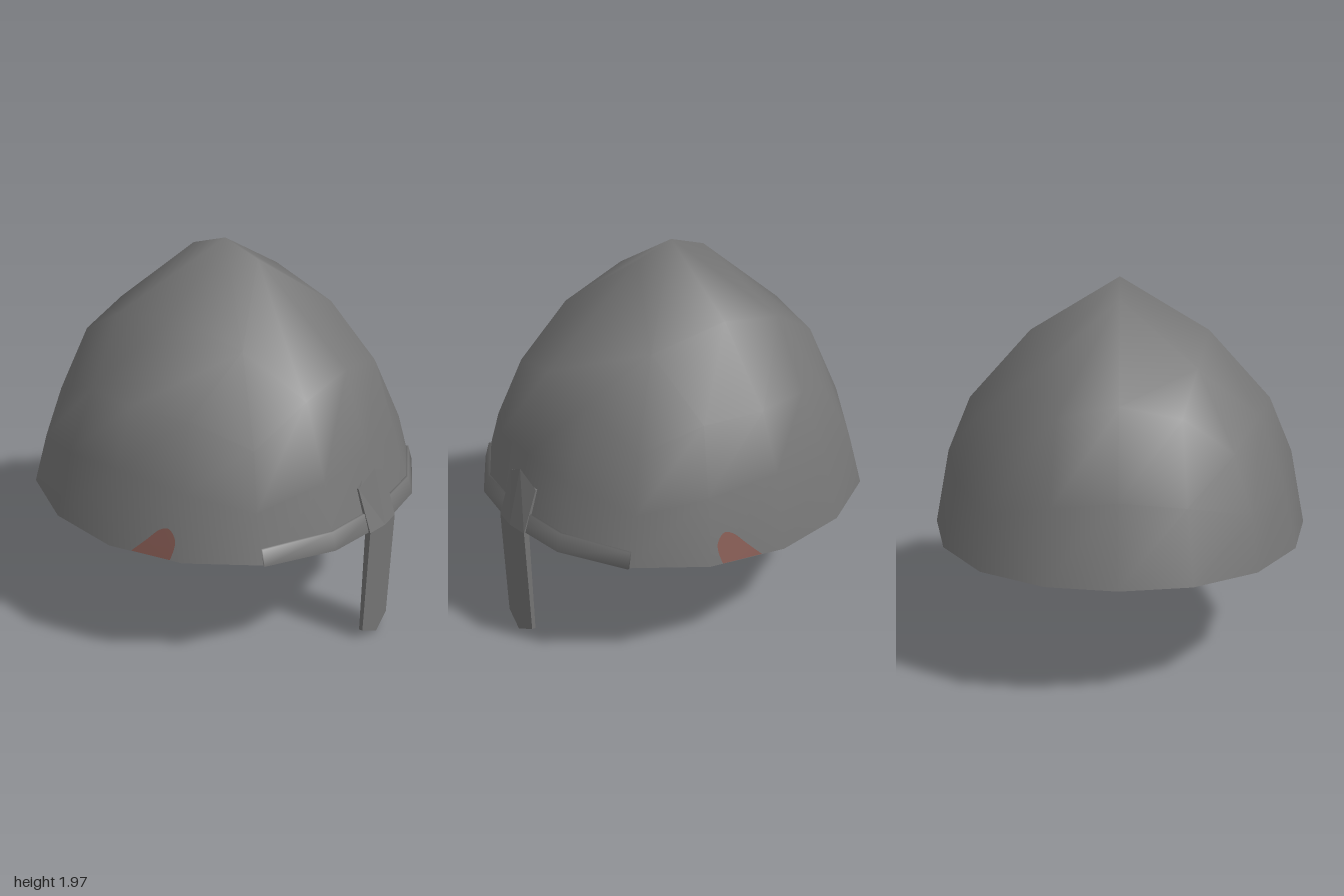
import * as THREE from 'three';

const SIDES = 16;
const APEX = new THREE.Vector3(0, 1.97, 0);
// One quarter of each shell ring, from crown to rim: [x, y, depth] from the middle (x = 0) round to the side
const RINGS = [
  [[0, 1.9, 0.2], [0.39, 1.59, 0.39], [0.39, 1.59, 0.39], [0.39, 1.59, 0.39], [0.46, 1.69, 0]],
  [[0, 1.48, 0.69], [0.31, 1.41, 0.67], [0.57, 1.2, 0.565], [0.71, 1.32, 0.3], [0.78, 1.33, 0]],
  [[0, 1.06, 0.89], [0.33, 1.02, 0.85], [0.655, 0.925, 0.675], [0.83, 0.99, 0.365], [0.9, 1.04, 0]],
  [[0, 0.652, 1.0], [0.36, 0.652, 0.945], [0.685, 0.648, 0.74], [0.9, 0.646, 0.4], [0.975, 0.645, 0]],
];
// How the front middle of each ring differs from the back: [height, depth]
const FRONT_SHIFT = [[0, 0], [-0.04, 0.05], [-0.04, -0.01], [0, -0.018]];

// Corner of the shell; j counts sixteenths of a turn from the front toward +x
function ringPoint(i, j) {
  const n = (j + SIDES) % SIDES, k = n % 8 > 4 ? 8 - n % 8 : n % 8;
  let [x, y, z] = RINGS[i][k];
  const front = n < 4 || n > 12;
  if (front) {
    const weight = Math.cos(k * Math.PI / 8) ** 2;
    y += FRONT_SHIFT[i][0] * weight;
    z += FRONT_SHIFT[i][1] * weight;
  }
  return new THREE.Vector3(n < 8 ? x : -x, y, front ? z : -z);
}

function meshGeometry(points, index) {
  const g = new THREE.BufferGeometry().setFromPoints(points);
  g.setIndex(index);
  g.computeVertexNormals();
  return g;
}

// Dome: the crown ring has eight corners, the others sixteen
function shellGeometry() {
  const pts = [APEX], idx = [];
  const at = (i, j) => {
    const n = i === 0 && j % 2 ? Math.floor(j / 4) * 4 + 2 : j % SIDES;
    return 1 + i * SIDES + n;
  };
  const tri = (a, b, c) => { if (a !== b && b !== c && a !== c) idx.push(a, b, c); };
  for (let i = 0; i < RINGS.length; i++) {
    for (let j = 0; j < SIDES; j++) {
      pts.push(ringPoint(i, j));
      if (i === 0) tri(0, at(0, j), at(0, j + 1));
      else {
        const a = at(i - 1, j), b = at(i - 1, j + 1), c = at(i, j), d = at(i, j + 1);
        tri(a, c, b);
        tri(b, c, d);
      }
    }
  }
  return meshGeometry(pts, idx);
}

// Solid joined through equal closed sections, capped at both ends
function loft(sections) {
  const n = sections[0].length, last = (sections.length - 1) * n, idx = [];
  for (let k = 0; k < last; k += n) {
    for (let s = 0; s < n; s++) {
      const a = k + s, b = k + (s + 1) % n;
      idx.push(a, b, a + n, a + n, b, b + n);
    }
  }
  for (let s = 1; s < n - 1; s++) idx.push(0, s + 1, s, last, last + s, last + s + 1);
  return meshGeometry(sections.flat(), idx);
}

// Low brow band swept along the five front corners of the rim
function browGeometry() {
  return loft([-2, -1, 0, 1, 2].map((j) => {
    const rim = ringPoint(3, j), up = ringPoint(2, j);
    const topY = 0.75 - 0.005 * j * j;
    const top = rim.clone().lerp(up, (topY - rim.y) / (up.y - rim.y));
    const out = new THREE.Vector3(j * 0.003, 0, 0.012);
    return [top.clone().sub(out), top.clone().add(out), rim.clone().add(out), rim.clone().sub(out)];
  }));
}

// Nose guard: rows of [edge height, middle height, half width, front z, thickness], creased down the middle
function noseGuardGeometry() {
  const rows = [
    [0.06, 0.005, 0.115, 0.975, 0.02],
    [0.65, 0.65, 0.117, 1.0, 0.03],
    [0.88, 0.95, 0.122, 0.925, 0.04],
  ];
  const g = loft(rows.map(([edge, mid, w, z, t]) => {
    const p = (x, y, depth) => new THREE.Vector3(x, y, z - 0.12 * Math.abs(x) - depth);
    return [p(-w, edge, 0), p(0, mid, 0), p(w, edge, 0), p(w, edge, t), p(0, mid, t), p(-w, edge, t)];
  })).toNonIndexed();
  g.computeVertexNormals();
  return g;
}

// Painted spot following the lower side facet of the shell
function spotGeometry(side, offset) {
  const shape = new THREE.Shape();
  shape.moveTo(0.125, 0.65);
  shape.splineThru([[0.2, 0.725], [0.26, 0.787], [0.31, 0.803], [0.347, 0.76], [0.35, 0.71], [0.335, 0.65]]
    .map(([z, y]) => new THREE.Vector2(z, y)));
  const g = new THREE.ShapeGeometry(shape, 6), p = g.attributes.position;
  const alongColumn = (j, y) => {
    const low = ringPoint(3, j), high = ringPoint(2, j);
    return low.clone().lerp(high, (y - low.y) / (high.y - low.y));
  };
  for (let i = 0; i < p.count; i++) {
    const z = p.getX(i), y = p.getY(i);
    const back = alongColumn(4, y), front = alongColumn(3, y);
    const x = back.x + (front.x - back.x) * z / front.z;
    p.setXYZ(i, side * (x + offset), y, z);
  }
  g.computeVertexNormals();
  return g;
}

export function createModel() {
  const steel = new THREE.MeshStandardMaterial({ color: 0x757575, side: THREE.DoubleSide });
  steel.name = 'steel';
  const rust = new THREE.MeshStandardMaterial({ color: 0x875c54, side: THREE.DoubleSide });
  rust.name = 'rustRed';

  const model = new THREE.Group();
  model.name = 'helmet';
  const add = (name, geometry, material) => {
    const mesh = new THREE.Mesh(geometry, material);
    mesh.name = name;
    model.add(mesh);
  };

  add('shell', shellGeometry(), steel);
  add('browBand', browGeometry(), steel);
  add('noseGuard', noseGuardGeometry(), steel);

  // Side spots, painted outside and inside
  for (const side of [1, -1]) {
    const name = side > 0 ? 'left' : 'right';
    add(name + 'OuterSpot', spotGeometry(side, 0.005), rust);
    add(name + 'InnerSpot', spotGeometry(side, -0.005), rust);
  }
  return model;
}
